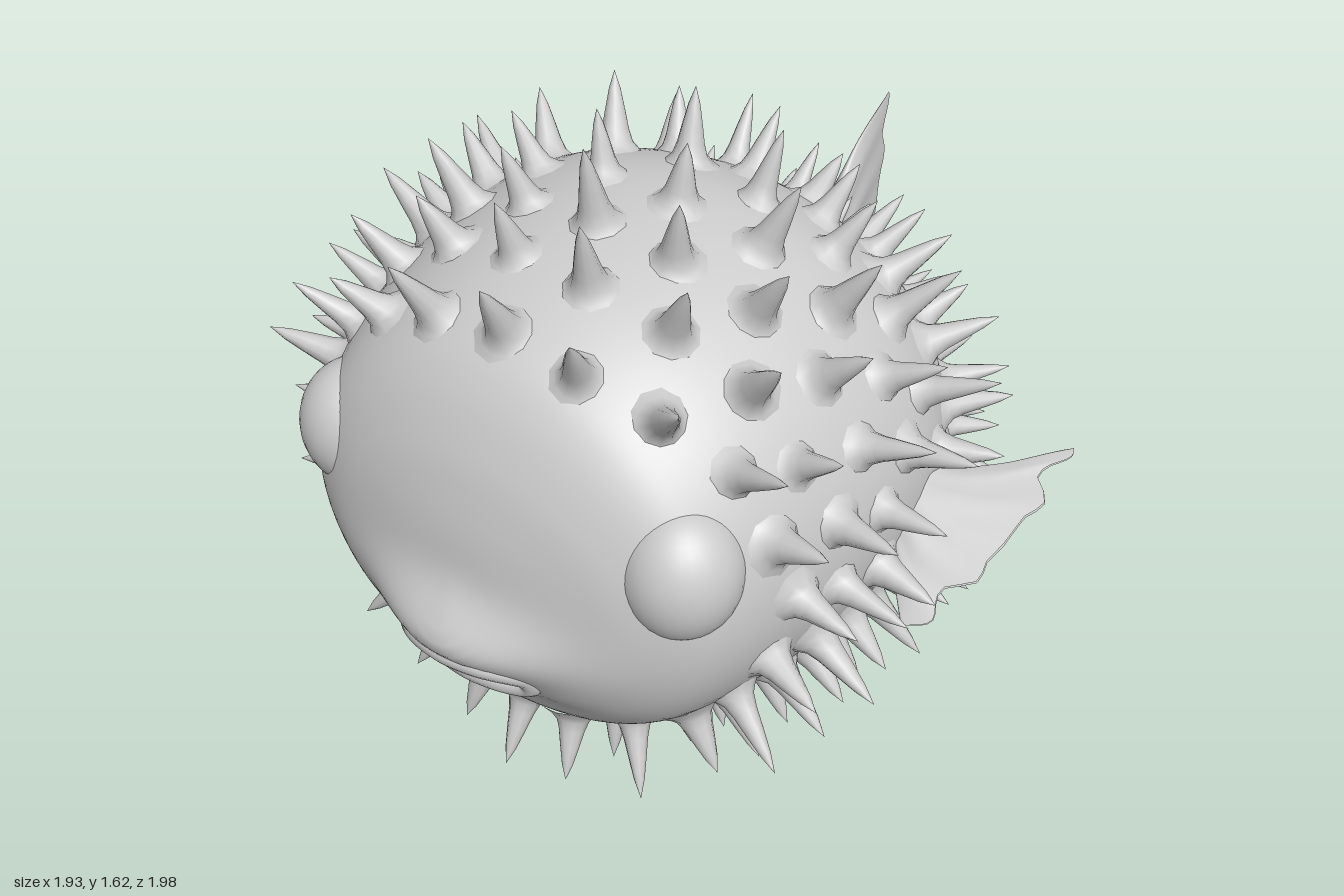
import * as THREE from 'three';
import { mergeGeometries, mergeVertices } from 'three/addons/utils/BufferGeometryUtils.js';

const V = (x, y, z) => new THREE.Vector3(x, y, z);
const material = new THREE.MeshStandardMaterial({ color: 0xcccccc, roughness: 0.8 });
const thinMaterial = material.clone();
thinMaterial.side = THREE.DoubleSide;

// Smooth skin over a stack of closed rings; at(s, angle) gives a point.
function loft(at, rings, sides) {
  const pos = [], index = [];
  for (let i = 0; i <= rings; i++) {
    for (let j = 0; j < sides; j++) {
      pos.push(...at(i / rings, (j / sides) * Math.PI * 2).toArray());
      if (i === rings) continue;
      const a = i * sides + j, b = i * sides + ((j + 1) % sides);
      index.push(a, a + sides, b, b, a + sides, b + sides);
    }
  }
  let geo = new THREE.BufferGeometry();
  geo.setAttribute('position', new THREE.Float32BufferAttribute(pos, 3));
  geo.setIndex(index);
  geo = mergeVertices(geo, 1e-5);
  geo.computeVertexNormals();
  return geo;
}

// Body sections from face to tail: z, top, bottom, half width
const sections = [
  [0.91, 0.75, 0.75, 0], [0.9, 0.87, 0.57, 0.17], [0.875, 0.98, 0.47, 0.31],
  [0.84, 1.08, 0.4, 0.42], [0.78, 1.19, 0.32, 0.52], [0.7, 1.27, 0.25, 0.575],
  [0.55, 1.345, 0.2, 0.63], [0.35, 1.39, 0.16, 0.68], [0.15, 1.4, 0.15, 0.7],
  [0, 1.37, 0.18, 0.685], [-0.15, 1.3, 0.225, 0.63], [-0.28, 1.2, 0.31, 0.54],
  [-0.38, 1.09, 0.4, 0.41], [-0.45, 1.0, 0.48, 0.28], [-0.51, 0.93, 0.56, 0.15],
  [-0.56, 0.89, 0.62, 0.08], [-0.6, 0.84, 0.67, 0.03],
];
const edges = new THREE.CatmullRomCurve3(sections.map(([z, top, bottom]) => V(top, bottom, z)), false, 'catmullrom', 0.5);
const widths = new THREE.CatmullRomCurve3(sections.map(([z, , , w]) => V(w, 0, z)), false, 'catmullrom', 0.5);
const bump = (dx, dy, sx, sy) => Math.exp(-0.5 * ((dx / sx) ** 2 + (dy / sy) ** 2));

function bodyPoint(s, angle) {
  const e = edges.getPoint(s), w = Math.max(0, widths.getPoint(s).x);
  const p = V(w * Math.cos(angle), (e.x + e.y) / 2 + ((e.x - e.y) / 2) * Math.sin(angle), e.z);
  if (p.z > 0.55) {
    // Snout bulge and chin hollow
    const fade = Math.min(1, (p.z - 0.55) / 0.15);
    p.z += fade * (0.09 * bump(p.x, p.y - 0.645, 0.16, 0.065) - 0.02 * bump(p.x, p.y - 0.42, 0.2, 0.05));
  }
  return p;
}

// Body parameter at a given z
function paramAt(z) {
  let lo = 0, hi = 1;
  for (let i = 0; i < 30; i++) {
    const mid = (lo + hi) / 2;
    if (edges.getPoint(mid).z > z) lo = mid; else hi = mid;
  }
  return lo;
}

function bodyNormal(s, a) {
  const along = bodyPoint(s + 0.004, a).sub(bodyPoint(s - 0.004, a));
  const around = bodyPoint(s, a + 0.02).sub(bodyPoint(s, a - 0.02));
  return along.cross(around).normalize();
}

// Spines: flared cones in staggered rings, standing off the skin
function spineGeometry() {
  let seed = 7;
  const rand = () => (seed = (seed * 16807) % 2147483647) / 2147483647 - 0.5;
  const profile = [[0.085, -0.016], [0.058, 0.001], [0.042, 0.018], [0.033, 0.045], [0.025, 0.085], [0.014, 0.135], [0, 0.175]];
  const spine = new THREE.LatheGeometry(profile.map(([r, y]) => new THREE.Vector2(r, y)), 10);
  const rows = [[0.56, 22], [0.43, 23], [0.29, 24], [0.16, 24], [0.03, 24], [-0.09, 23], [-0.2, 21], [-0.3, 18], [-0.38, 14], [-0.45, 9]];
  const parts = [];
  rows.forEach(([z, count], row) => {
    const size = 1 - 0.3 * THREE.MathUtils.smoothstep(row, 4, 9);
    for (let k = 0; k < count; k++) {
      const t = Math.PI / 2 + ((k + 0.5 * (row % 2)) / count) * Math.PI * 2;
      const a = t - 0.15 * Math.cos(t);
      // Front rows curve around the bare face
      const lean = 0.14 * Math.max(0, 1 - row / 4) * Math.sin(a) ** 2;
      const s = paramAt(z + lean + rand() * 0.04);
      const p = bodyPoint(s, a);
      if (Math.abs(p.x) > 0.6 && Math.abs(p.y - 0.74) < 0.09 && p.z > -0.05 && p.z < 0.24) continue;
      const n = bodyNormal(s, a).add(V(rand(), rand(), rand()).multiplyScalar(0.2)).normalize();
      const q = new THREE.Quaternion().setFromUnitVectors(V(0, 1, 0), n);
      const girth = size * (0.95 + rand() * 0.2);
      const height = size * (1 + rand() * 0.3);
      parts.push(spine.clone().applyMatrix4(new THREE.Matrix4().compose(p, q, V(girth, height, girth))));
    }
  });
  return mergeGeometries(parts);
}

// Fin between two edge curves, thinning outward to a rounded, ragged rim
function finGeometry(upper, lower, thickness, side, ragged) {
  const up = new THREE.CatmullRomCurve3(upper), low = new THREE.CatmullRomCurve3(lower);
  return loft((s, a) => {
    const u = up.getPoint(s), l = low.getPoint(s), f = (1 + Math.cos(a)) / 2;
    const out = up.getTangent(s).add(low.getTangent(s)).normalize();
    const wave = Math.abs(Math.sin(f * Math.PI * 3.5 + 0.5)) - 0.5 + 0.4 * Math.sin(f * 27);
    const round = 1.3 * (1 - (2 * f - 1) ** 2);
    const ribs = 1 + 0.15 * Math.sin(f * 30) * s;
    const k = THREE.MathUtils.lerp(thickness[0], thickness[1], s ** 1.3);
    return l.lerp(u, f).addScaledVector(side, Math.sin(a) * k * ribs).addScaledVector(out, ragged * (wave + round) * s ** 4);
  }, 24, 64);
}

export function createModel() {
  const group = new THREE.Group();
  const add = (name, geometry, mat = material) => {
    const mesh = new THREE.Mesh(geometry, mat);
    mesh.name = name;
    group.add(mesh);
    return mesh;
  };

  add('body', loft(bodyPoint, 100, 72));
  add('spines', spineGeometry());

  // Lips: rounded slot, upper lip further forward
  const lipPoints = [];
  for (let i = 0; i < 24; i++) {
    const a = (i / 24) * Math.PI * 2, c = Math.cos(a), n = Math.sin(a);
    const x = 0.165 * Math.sign(c) * Math.abs(c) ** 0.6;
    const y = 0.552 + 0.05 * Math.sign(n) * Math.abs(n) ** 0.7 - 0.3 * x * x;
    lipPoints.push(V(x, y, 0.925 + 0.032 * n - 1.7 * x * x));
  }
  add('lips', new THREE.TubeGeometry(new THREE.CatmullRomCurve3(lipPoints, true), 72, 0.029, 12, true));

  // Tail fin
  add('tailFin', finGeometry(
    [V(0, 0.9, -0.5), V(0, 0.9, -0.6), V(0, 0.96, -0.7), V(0, 1.07, -0.82), V(0, 1.15, -0.97)],
    [V(0, 0.6, -0.5), V(0, 0.62, -0.6), V(0, 0.6, -0.69), V(0, 0.52, -0.78), V(0, 0.48, -0.87)],
    [0.075, 0.006], V(1, 0, 0), 0.022), thinMaterial);

  // Paired eye swellings and side fins
  for (const m of [1, -1]) {
    const name = m > 0 ? 'left' : 'right';
    const eye = add(name + 'Eye', new THREE.SphereGeometry(1, 32, 24));
    eye.scale.set(0.135, 0.16, 0.135);
    eye.position.set(m * 0.445, 0.885, 0.708);

    const slope = (x, z) => V(m * x, 0.65 + (0.27 - z) * 0.66, z);
    add(name + 'SideFin', finGeometry(
      [slope(0.62, 0.0), slope(0.72, 0.02), slope(0.82, -0.02), slope(0.93, -0.1)],
      [slope(0.62, 0.19), slope(0.68, 0.22), slope(0.73, 0.28), slope(0.78, 0.34)],
      [0.04, 0.006], V(0, 0.83, 0.55), 0.04), thinMaterial);
  }
  return group;
}
